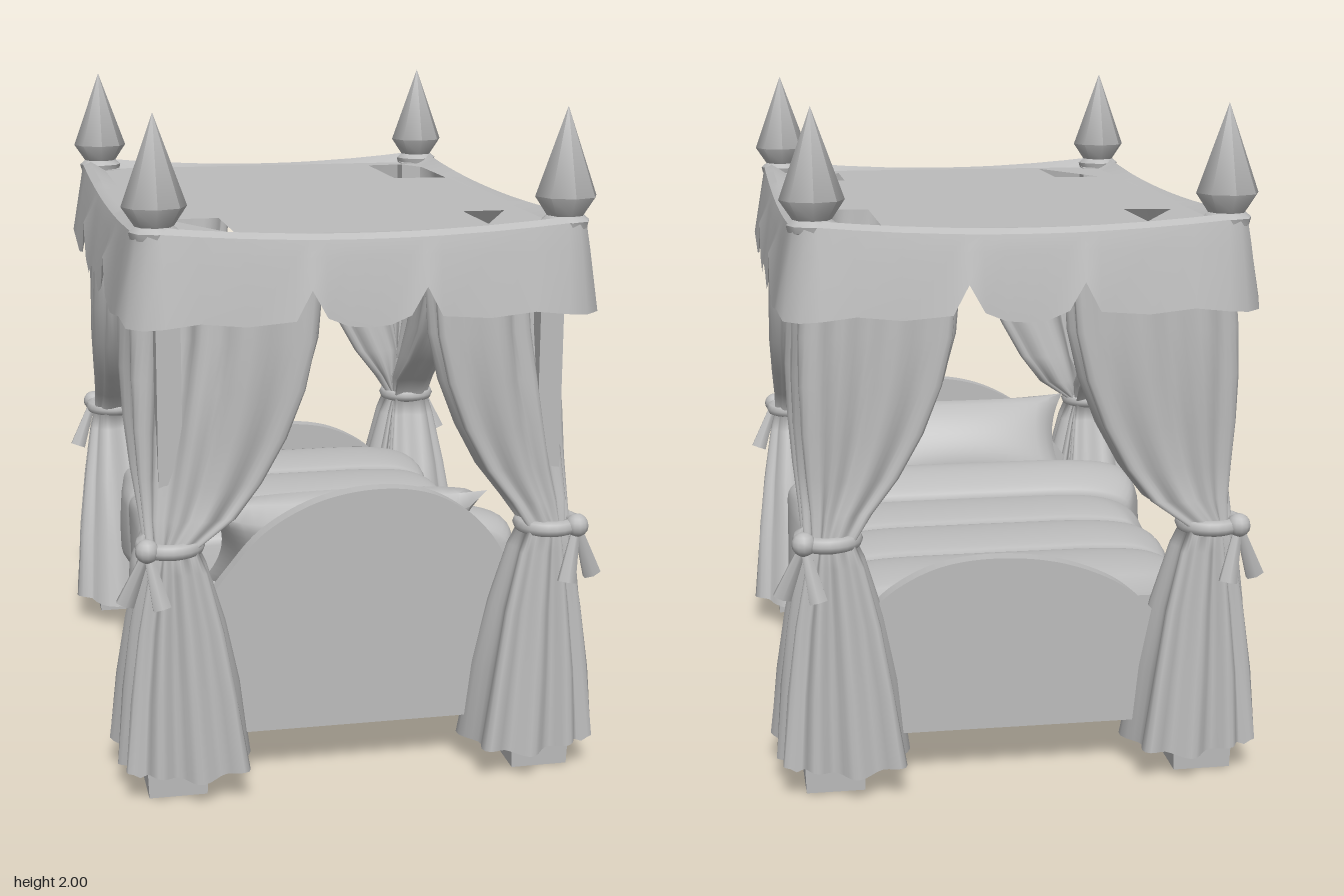
import * as THREE from 'three';
import { toCreasedNormals } from 'three/addons/utils/BufferGeometryUtils.js';

const grey = new THREE.MeshStandardMaterial({ color: 0xbcbcbc, side: THREE.DoubleSide });
grey.name = 'warmGrey';
const V = (x, y, z) => new THREE.Vector3(x, y, z);

function add(parent, name, geometry, x = 0, y = 0, z = 0) {
  const mesh = new THREE.Mesh(geometry, grey);
  mesh.name = name;
  mesh.position.set(x, y, z);
  parent.add(mesh);
  return mesh;
}

// Skin over closed rings that all have the same number of points
function loft(rings) {
  const n = rings[0].length, index = [];
  for (let r = 0; r < rings.length - 1; r++) {
    for (let i = 0; i < n; i++) {
      const a = r * n + i, b = r * n + (i + 1) % n;
      index.push(a, b, a + n, b, b + n, a + n);
    }
  }
  const geo = new THREE.BufferGeometry().setFromPoints(rings.flat());
  geo.setIndex(index);
  geo.computeVertexNormals();
  return geo;
}

// Curtain wrapped round a corner, gathered at the waist, with vertical folds
// rows: y, outer x, outer z, inner x, inner z, depth of the cloth, fold depth
const CURTAIN = [
  [1.52, 0.625, 0.91, 0.17, 0.36, 0.08, 0.012],
  [1.36, 0.635, 0.915, 0.185, 0.37, 0.09, 0.014],
  [1.22, 0.64, 0.915, 0.22, 0.40, 0.10, 0.014],
  [1.08, 0.64, 0.91, 0.275, 0.46, 0.11, 0.013],
  [0.95, 0.635, 0.905, 0.345, 0.555, 0.12, 0.011],
  [0.85, 0.63, 0.91, 0.42, 0.67, 0.13, 0.009],
  [0.77, 0.63, 0.925, 0.50, 0.785, 0.12, 0.006],
  [0.70, 0.645, 0.93, 0.475, 0.77, 0.14, 0.010],
  [0.52, 0.67, 0.94, 0.43, 0.705, 0.18, 0.014],
  [0.32, 0.69, 0.955, 0.395, 0.645, 0.23, 0.017],
  [0.09, 0.705, 0.965, 0.365, 0.59, 0.27, 0.020],
];
function curtainGeometry(sx, sz) {
  const N = 112;
  return loft(CURTAIN.map(([y, ox, oz, innerX, innerZ, d, fold]) => {
    // the front pair part slightly at the corner, and the left pair hang narrower
    const part = sz > 0 ? 0.08 * THREE.MathUtils.clamp((y - 0.85) / 0.5, 0, 1) : 0;
    const ix = innerX + (y > 0.8 ? sx * 0.03 : 0);
    const iz = innerZ + (y > 0.8 && sx > 0 ? 0.04 : 0);
    const cx = ox - 0.03 - part, cz = oz - 0.03 - part;
    const bx = ox - d - part, bz = oz - d - part;
    const mx = (ox + ix) / 2, mz = (oz + iz) / 2;
    const curve = new THREE.CatmullRomCurve3([
      V(cx, y, cz), V(mx, y, oz), V(ix, y, oz - 0.01), V(ix, y, oz - d),
      V(Math.min(mx, ox - d), y, oz - d), V(bx, y, bz), V(ox - d, y, Math.min(mz, oz - d)),
      V(ox - d, y, iz), V(ox - 0.01, y, iz), V(ox, y, mz),
    ], true);
    return Array.from({ length: N }, (_, i) => {
      const t = i / N, p = curve.getPoint(t), tan = curve.getTangent(t);
      const k = fold * Math.sin(t * Math.PI * 2 * 14 + 0.6 * Math.sin(y * 5));
      const hem = y < 0.2 ? 0.012 * Math.sin(t * 40) : 0;
      return V((p.x - tan.z * k) * sx, y + hem, (p.z + tan.x * k) * sz);
    });
  }));
}

// Valance hem: distance from the middle of each side and height of the lower edge
const FRONT_HEM = [[0, 1.40], [0.06, 1.405], [0.12, 1.43], [0.165, 1.51], [0.21, 1.425],
  [0.35, 1.415], [0.48, 1.43], [0.58, 1.42]];
const SIDE_HEM = [[0, 1.44], [0.08, 1.43], [0.18, 1.39], [0.29, 1.42], [0.365, 1.53],
  [0.43, 1.42], [0.58, 1.40], [0.72, 1.42], [0.85, 1.44]];
function valanceGeometry() {
  const hx = 0.58, hz = 0.85, path = [];
  for (let side = 0; side < 4; side++) {
    const isSide = side % 2 === 1, hem = isSide ? SIDE_HEM : FRONT_HEM;
    const half = isSide ? hz : hx, out = isSide ? hx : hz;
    const full = [...hem.slice(1).reverse().map(([s, y]) => [-s, y]), ...hem];
    const a = side * Math.PI / 2;
    const nx = Math.sin(a), nz = Math.cos(a);
    for (const [s, y] of full) {
      const lift = Math.pow(Math.abs(s) / half, 2);
      // the short sides bow inwards between the corners
      const spread = isSide ? 1 : 0.8 + 0.2 * lift;
      path.push({ x: nx * out + nz * s, z: nz * out - nx * s, nx, nz, y, lift, spread });
    }
    for (const da of [0.5, 1.05]) {
      path.push({ x: nx * out + nz * half, z: nz * out - nx * half,
        nx: Math.sin(a + da), nz: Math.cos(a + da), y: 1.415, lift: 1, spread: 1 });
    }
  }
  const ring = (r, height) => path.map((p) =>
    V(p.x + p.nx * r * p.spread, height(p), p.z + p.nz * r * p.spread));
  return toCreasedNormals(loft([
    ring(0, () => 1.657),
    ring(0.05, (p) => 1.66 + 0.03 * p.lift),
    ring(0.075, (p) => 1.645 + 0.03 * p.lift),
    ring(0.088, () => 1.6),
    ring(0.116, (p) => p.y),
  ]), 0.7);
}

// Roof cloth with torn openings (x, z)
function roofGeometry() {
  const shape = new THREE.Shape([[-0.58, -0.85], [0.58, -0.85], [0.58, 0.85], [-0.58, 0.85]]
    .map(([x, z]) => new THREE.Vector2(x, -z)));
  const holes = [
    [[-0.38, -0.78], [-0.52, -0.5], [-0.38, -0.48]],
    [[-0.52, 0.5], [-0.36, 0.5], [-0.36, 0.82]],
    [[0.39, -0.77], [0.52, -0.78], [0.57, -0.68], [0.57, -0.35], [0.39, -0.37]],
    [[0.39, 0.5], [0.52, 0.5], [0.39, 0.77]],
  ];
  for (const h of holes) shape.holes.push(new THREE.Path(h.map(([x, z]) => new THREE.Vector2(x, -z))));
  return new THREE.ShapeGeometry(shape).rotateX(-Math.PI / 2);
}

// Arched end board
function boardGeometry(k) {
  const arch = [[0.49, 0.5], [0.455, 0.65], [0.37, 0.77], [0.23, 0.86], [0.06, 0.885],
    [-0.12, 0.855], [-0.28, 0.77], [-0.39, 0.65], [-0.49, 0.52]];
  const shape = new THREE.Shape();
  shape.moveTo(-0.49, 0.15);
  shape.lineTo(0.49, 0.15);
  const pts = arch.map(([x, y]) => new THREE.Vector2(x, 0.15 + (y - 0.15) * k));
  shape.lineTo(pts[0].x, pts[0].y);
  shape.splineThru(pts.slice(1));
  return new THREE.ExtrudeGeometry(shape, { depth: 0.05, bevelEnabled: false, curveSegments: 24 })
    .translate(0, 0, -0.025);
}

// Padded cover: rounded box sections, puff gives the padding at each z
function coverGeometry(z0, z1, steps, puff) {
  const rings = [], N = 56;
  for (let j = 0; j <= steps; j++) {
    const t = j / steps, z = z0 + (z1 - z0) * t, d = puff(t);
    const w = 0.495 + d, top = 0.53 + d, low = 0.185 - d * 0.1;
    rings.push(Array.from({ length: N }, (_, i) => {
      const a = i / N * Math.PI * 2, c = Math.cos(a), s = Math.sin(a);
      const wave = 0.006 * Math.sin(a * 7 + z * 14);
      return V(Math.sign(c) * Math.abs(c) ** 0.36 * (w + wave),
        (top + low) / 2 + Math.sign(s) * Math.abs(s) ** 0.36 * (top - low) / 2, z);
    }));
  }
  return loft(rings);
}

// Pillow with pinched, pointed corners
function pillowGeometry() {
  const geo = new THREE.BoxGeometry(2, 2, 2, 20, 14, 1), p = geo.attributes.position;
  for (let i = 0; i < p.count; i++) {
    const u = p.getX(i), v = p.getY(i), s = Math.sign(p.getZ(i));
    const fat = Math.pow(Math.max(0, (1 - u * u) * (1 - v * v)), 0.4);
    p.setXYZ(i, 0.43 * u * (1 - 0.13 * (1 - v * v)), 0.19 * v * (1 - 0.1 * (1 - u * u)), s * 0.12 * fat);
  }
  return toCreasedNormals(geo, 1);
}

// Tapered strip between two points
function tail(parent, name, from, to) {
  const dir = to.clone().sub(from);
  const mesh = add(parent, name, new THREE.CylinderGeometry(0.012, 0.03, dir.length(), 6).scale(1, 1, 0.6));
  mesh.position.copy(from).addScaledVector(dir, 0.5);
  mesh.quaternion.setFromUnitVectors(V(0, 1, 0), dir.normalize());
}

export function createModel() {
  const bed = new THREE.Group();
  bed.name = 'canopyBed';

  // Frame and mattress
  add(bed, 'bedBase', new THREE.BoxGeometry(0.97, 0.17, 1.56), 0, 0.235, -0.015);
  add(bed, 'mattress', new THREE.BoxGeometry(0.95, 0.21, 1.56), 0, 0.425, -0.015);
  add(bed, 'headboard', boardGeometry(1), 0, 0, 0.78);
  add(bed, 'footboard', boardGeometry(0.72), 0, 0, -0.81);

  // Bedding
  add(bed, 'duvet', coverGeometry(0.17, -0.78, 48, (t) => {
    const band = Math.pow(Math.abs(Math.sin(t * 3 * Math.PI)), 0.5);
    return t === 0 || t === 1 ? -0.04 : 0.045 + 0.027 * band;
  }));
  add(bed, 'foldedBlanket', coverGeometry(0.43, 0.11, 24, (t) =>
    -0.04 + (0.192 - 0.04 * t) * Math.pow(Math.max(0, Math.sin(t * Math.PI)), 0.2)));
  add(bed, 'pillow', pillowGeometry(), 0, 0.67, 0.58).rotation.x = 0.6;

  // Canopy
  add(bed, 'canopyRoof', roofGeometry(), 0, 1.657, 0);
  add(bed, 'valance', valanceGeometry());

  // Corners: foot, post, finial, curtain and tie
  const finial = [[0, 1.64], [0.068, 1.655], [0.073, 1.675], [0.055, 1.69], [0.092, 1.745], [0, 2]]
    .map(([x, y]) => new THREE.Vector2(x, y));
  const foot = new THREE.CylinderGeometry(0.131, 0.122, 0.15, 4).rotateY(Math.PI / 4).scale(1, 1, 0.85);
  for (const sx of [-1, 1]) {
    for (const sz of [-1, 1]) {
      const corner = new THREE.Group();
      corner.name = (sz > 0 ? 'front' : 'back') + (sx > 0 ? 'Left' : 'Right') + 'Corner';
      bed.add(corner);
      add(corner, 'foot', toCreasedNormals(foot, 0.5), sx * 0.555, 0.075, sz * 0.81);
      add(corner, 'post', new THREE.BoxGeometry(0.07, 1.56, 0.07), sx * 0.56, 0.88, sz * 0.83);
      add(corner, 'finial', toCreasedNormals(new THREE.LatheGeometry(finial, 8), 0.9),
        sx * 0.592, 0, sz * 0.855);
      add(corner, 'curtain', curtainGeometry(sx, sz));
      add(corner, 'tieBand', new THREE.TorusGeometry(0.078, 0.024, 8, 24).rotateX(Math.PI / 2),
        sx * 0.565, 0.77, sz * 0.855);
      const knot = V(sx * 0.637, 0.775, sz * 0.92);
      add(corner, 'tieKnot', new THREE.SphereGeometry(0.035, 12, 8), knot.x, knot.y, knot.z);
      tail(corner, 'tieTail', V(sx * 0.7, 0.61, sz * 0.89), knot);
      tail(corner, 'tieTail', V(sx * 0.6, 0.61, sz * 0.95), knot);
    }
  }
  return bed;
}
